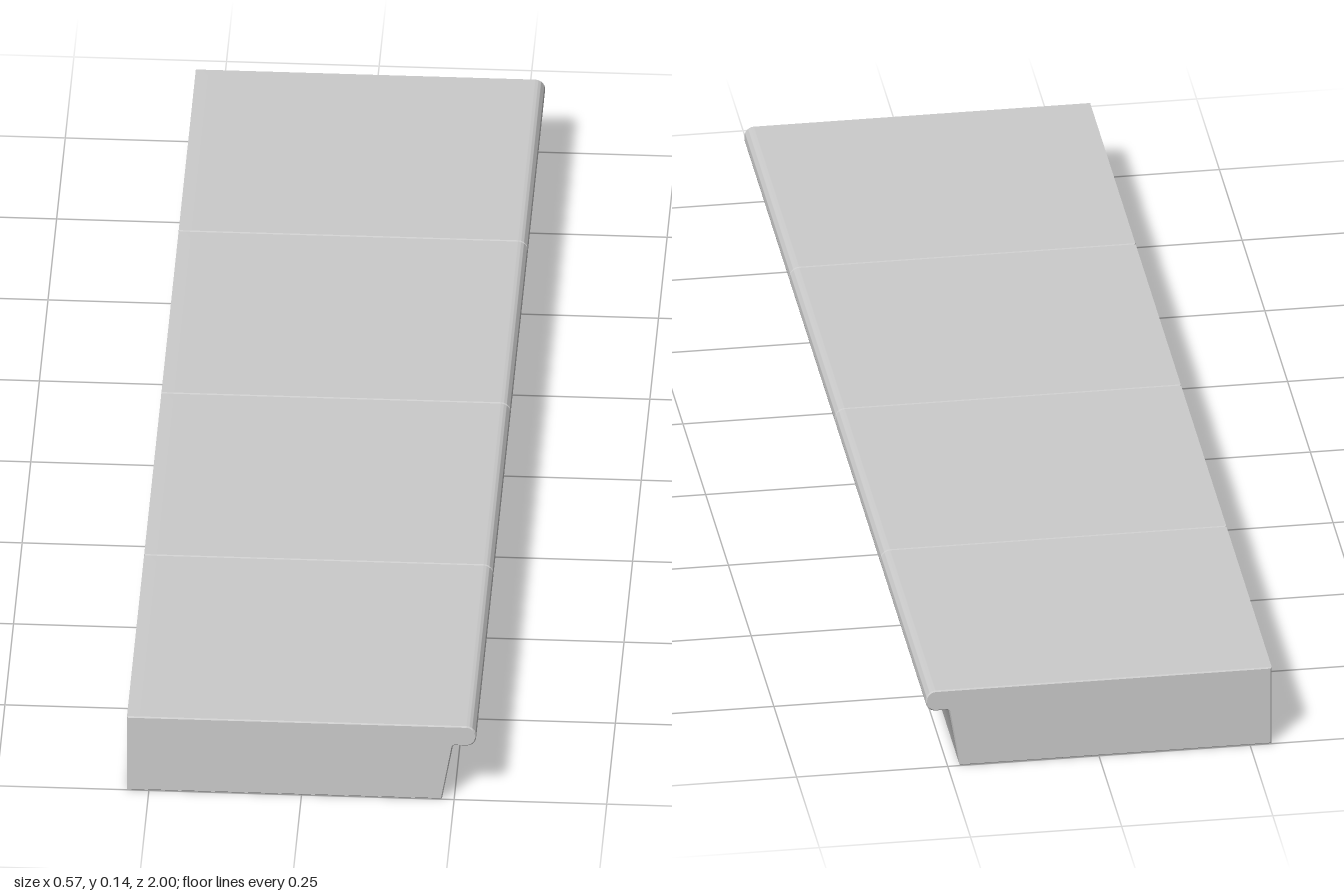
import * as THREE from 'three';
import { toCreasedNormals } from 'three/addons/utils/BufferGeometryUtils.js';

const COUNT = 4;
const LENGTH = 0.5; // length of one step block along z
const BEVEL = 0.002; // fine chamfer that draws the joints

// Cross-section of a step: sloped riser under a rounded nosing
function stepProfile() {
  const r = 0.0165, top = 0.141, under = 0.104, tip = 0.286;
  const s = new THREE.Shape();
  s.moveTo(-0.286, 0);
  s.lineTo(0.23, 0);
  s.lineTo(0.2475, 0.1);
  s.quadraticCurveTo(0.248, under, 0.252, under);
  s.lineTo(tip - r, under);
  s.absarc(tip - r, under + r, r, -Math.PI / 2, 0, false);
  s.absarc(tip - r, top - r, r, 0, Math.PI / 2, false);
  s.lineTo(-0.286, top);
  s.closePath();
  return s;
}

export function createModel() {
  const group = new THREE.Group();
  group.name = 'stepBlocks';
  const material = new THREE.MeshStandardMaterial({ color: 0xcccccc });

  const extruded = new THREE.ExtrudeGeometry(stepProfile(), {
    depth: LENGTH - 2 * BEVEL,
    bevelEnabled: true,
    bevelThickness: BEVEL,
    bevelSize: BEVEL,
    bevelOffset: -BEVEL,
    bevelSegments: 1,
    curveSegments: 10,
  });
  extruded.translate(0, 0, BEVEL - LENGTH / 2);
  const geometry = toCreasedNormals(extruded, 0.5);

  // Row of identical blocks, end to end
  for (let i = 0; i < COUNT; i++) {
    const block = new THREE.Mesh(geometry, material);
    block.name = `stepBlock${i + 1}`;
    block.position.z = (i - (COUNT - 1) / 2) * LENGTH;
    group.add(block);
  }
  return group;
}
